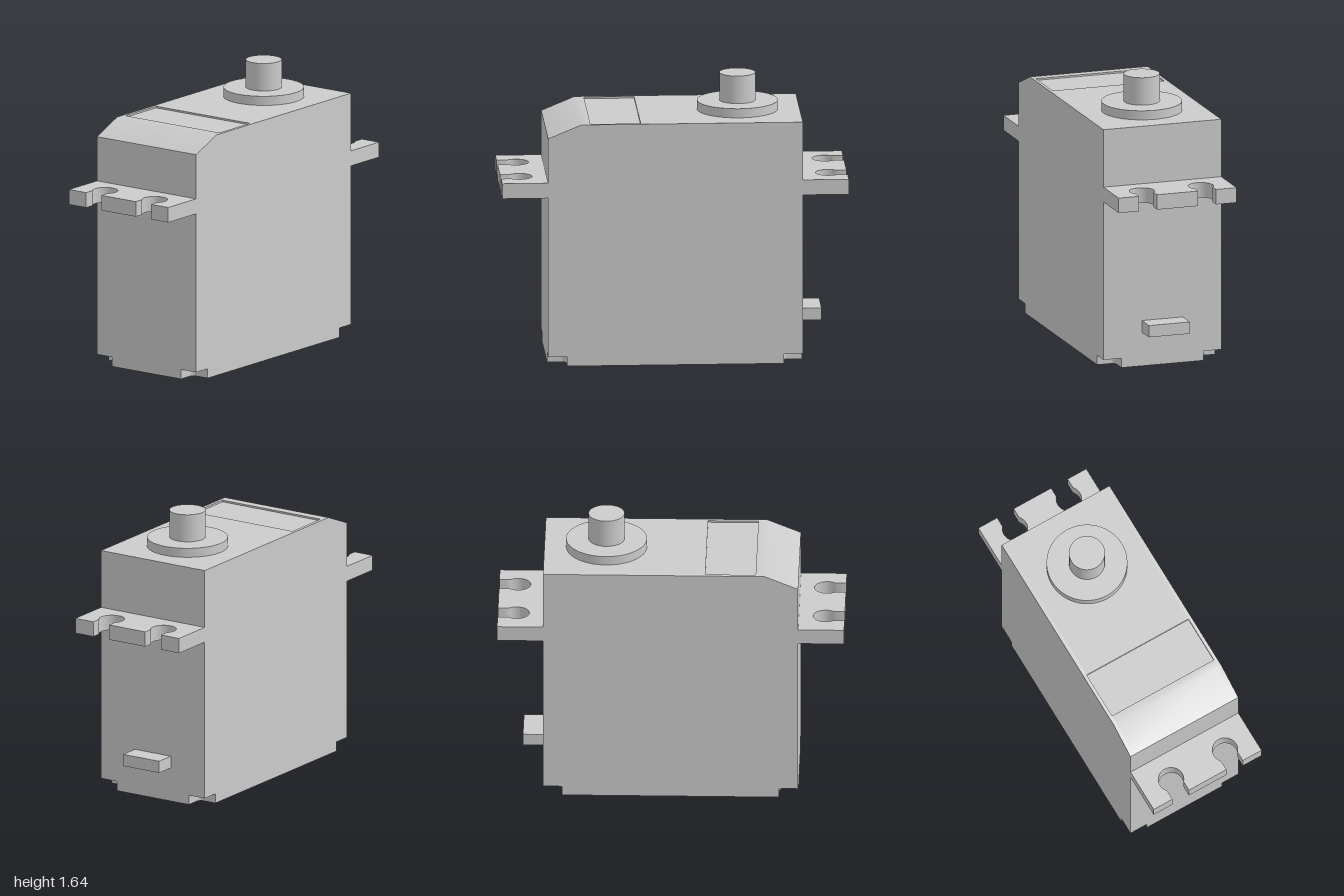
import * as THREE from 'three';
import { toCreasedNormals } from 'three/addons/utils/BufferGeometryUtils.js';

const material = new THREE.MeshStandardMaterial({ color: 0xcccccc });
const W = 0.735, D = 0.36;            // half width and half depth of the case
const TOP = 1.427, FOOT = 0.056;      // case top, height of the corner notches

function add(parent, name, geometry, x = 0, y = 0, z = 0) {
  const mesh = new THREE.Mesh(geometry, material);
  mesh.name = name;
  mesh.position.set(x, y, z);
  parent.add(mesh);
  return mesh;
}

function extrude(shape, depth) {
  const geometry = new THREE.ExtrudeGeometry(shape, { depth, bevelEnabled: false, curveSegments: 24 });
  return toCreasedNormals(geometry, 0.6);
}

// Extrude a plan outline upwards
const extrudeUp = (shape, height) => extrude(shape, height).rotateX(-Math.PI / 2);

// Side outline of the case, optionally with the shallow label recess
function caseOutline(recessed) {
  const points = [[-W, FOOT], [W, FOOT], [W, TOP]];
  if (recessed) points.push([-0.2, TOP], [-0.2, TOP - 0.01], [-0.49, TOP - 0.01], [-0.49, TOP]);
  points.push([-0.543, TOP], [-W, 1.347]);
  return new THREE.Shape(points.map(([x, y]) => new THREE.Vector2(x, y)));
}

// Plan of the base, with a filleted notch at each corner
function baseOutline() {
  const w = 0.625, d = 0.25, r = 0.03;
  const shape = new THREE.Shape();
  shape.moveTo(-w, -D);
  const corners = [[1, -1, Math.PI], [1, 1, -Math.PI / 2], [-1, 1, 0], [-1, -1, Math.PI / 2]];
  for (const [sx, sy, a] of corners) {
    const ends = [[sx * w, sy * D], [sx * W, sy * d]];
    if (sx * sy > 0) ends.reverse();
    shape.lineTo(...ends[0]);
    shape.absarc(sx * (w + r), sy * (d + r), r, a, a - Math.PI / 2, true);
    shape.lineTo(...ends[1]);
  }
  return shape;
}

// Plan of a mounting ear with two open keyhole slots
function earOutline() {
  const r = 0.073, half = 0.055, cx = 0.891, a = Math.asin(half / r);
  const shape = new THREE.Shape();
  shape.moveTo(W, -D);
  shape.lineTo(1, -D);
  for (const c of [-0.18, 0.18]) {
    shape.lineTo(1, c - half);
    shape.absarc(cx, c, r, -a, a, true);
    shape.lineTo(1, c + half);
  }
  shape.lineTo(1, D);
  shape.lineTo(W, D);
  return shape;
}

export function createModel() {
  const model = new THREE.Group();
  model.name = 'servoMotor';

  // Case: recessed core between two thin side walls
  const rim = 0.02, body = new THREE.Group();
  body.name = 'case';
  model.add(body);
  add(body, 'caseCore', extrude(caseOutline(true), 2 * (D - rim)), 0, 0, rim - D);
  for (const z of [-D, D - rim]) add(body, 'caseSide', extrude(caseOutline(false), rim), 0, 0, z);
  add(body, 'caseBase', extrudeUp(baseOutline(), FOOT));

  // Mounting ears
  for (const turn of [0, Math.PI]) {
    add(model, 'mountingEar', extrudeUp(earOutline(), 0.089), 0, 0.996, 0).rotation.y = turn;
  }

  // Output collar and shaft
  add(model, 'outputCollar', new THREE.CylinderGeometry(0.233, 0.233, 0.054, 64), 0.377, TOP + 0.027, 0);
  add(model, 'outputShaft', new THREE.CylinderGeometry(0.104, 0.104, 0.163, 48), 0.377, 1.5625, 0);

  // Cable outlet
  add(model, 'cableOutlet', new THREE.BoxGeometry(0.121, 0.07, 0.25), 0.7955, 0.235, 0);

  return model;
}
